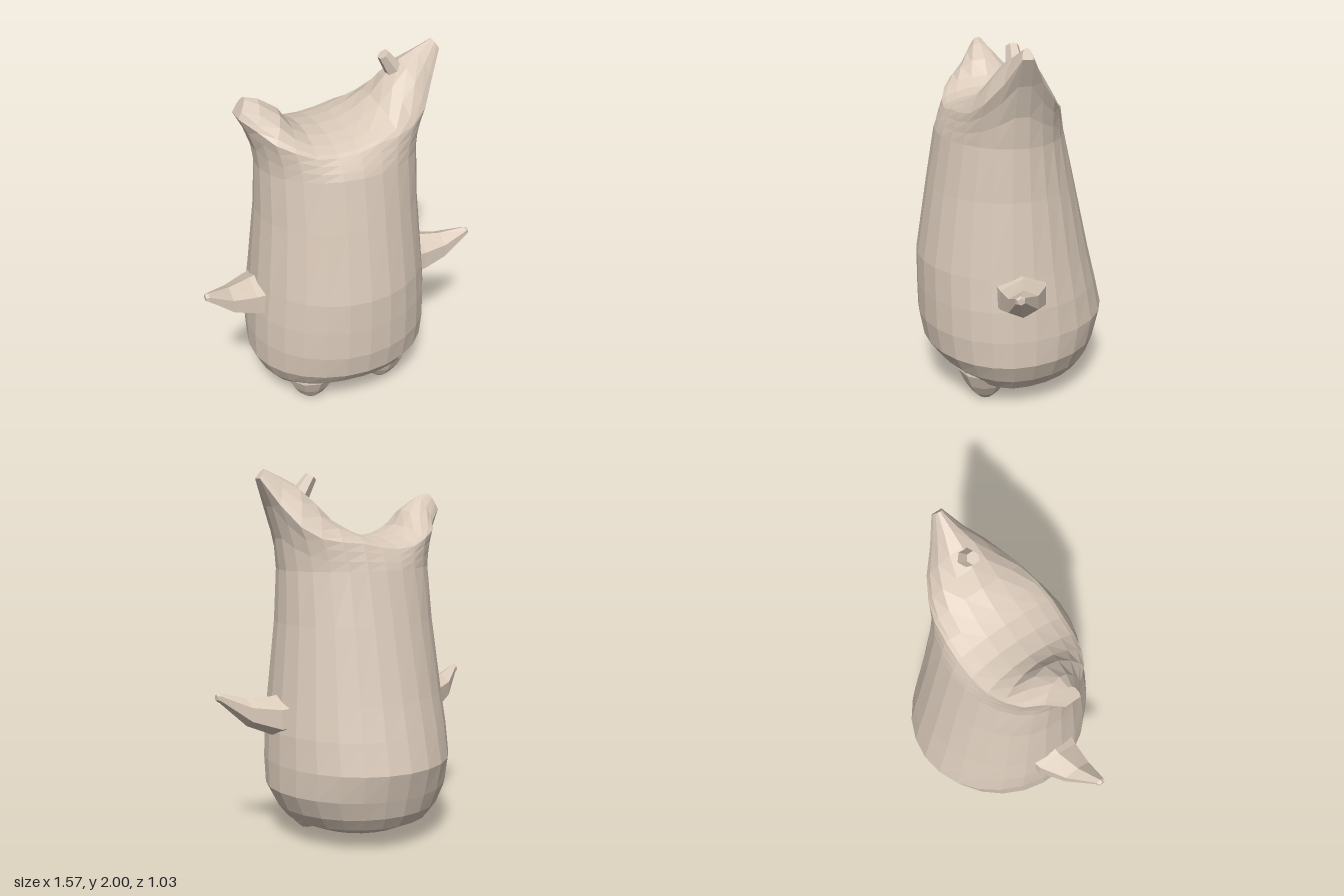
import * as THREE from 'three';

const material = new THREE.MeshStandardMaterial({ color: 0xdacaba, flatShading: true });
const lerp = THREE.MathUtils.lerp;
const HALF = 13; // columns on the front half and on the back half
const MID_Z = 0.05; // depth at which the body is widest

// Skin a grid of points; each row is a list of Vector3
function skin(rows, closed) {
  const pos = [];
  const tri = (a, b, c) => {
    if (new THREE.Triangle(a, b, c).getArea() > 1e-7) for (const p of [a, b, c]) pos.push(p.x, p.y, p.z);
  };
  for (let i = 0; i < rows.length - 1; i++) {
    const n = rows[i].length;
    for (let j = 0; j < (closed ? n : n - 1); j++) {
      const k = (j + 1) % n;
      tri(rows[i][j], rows[i + 1][j], rows[i][k]);
      tri(rows[i][k], rows[i + 1][j], rows[i + 1][k]);
    }
  }
  const g = new THREE.BufferGeometry();
  g.setAttribute('position', new THREE.Float32BufferAttribute(pos, 3));
  g.computeVertexNormals();
  return g;
}

function add(parent, name, geometry) {
  const m = new THREE.Mesh(geometry, material);
  m.name = name;
  parent.add(m);
  return m;
}

// Body rings: front y, side y, back y, half width, front z, back z
const RINGS = [
  [0.07, 0.07, 0.07, 0.0, MID_Z, MID_Z],
  [0.075, 0.06, 0.065, 0.17, 0.17, -0.15],
  [0.155, 0.06, 0.068, 0.27, 0.3, -0.27],
  [0.17, 0.12, 0.13, 0.4, 0.36, -0.4],
  [0.235, 0.19, 0.2, 0.455, 0.435, -0.445],
  [0.31, 0.3, 0.3, 0.508, 0.49, -0.475],
  [0.45, 0.45, 0.45, 0.512, 0.515, -0.515],
  [0.62, 0.62, 0.62, 0.505, 0.517, -0.475],
  [0.8, 0.8, 0.8, 0.485, 0.515, -0.43],
  [1.2, 1.2, 1.2, 0.447, 0.45, -0.34],
  [1.48, 1.48, 1.48, 0.44, 0.4, -0.275],
];

// Rim stations from left horn to right horn: x, y, front z, back z, ridge x, ridge y
const RIM = [
  [0.57, 1.95, 0.085, 0.03, 0.535, 2.0],
  [0.495, 1.82, 0.155, -0.04, 0.44, 1.96],
  [0.42, 1.71, 0.235, -0.12, 0.355, 1.92],
  [0.33, 1.65, 0.285, -0.175, 0.27, 1.84],
  [0.23, 1.63, 0.32, -0.21, 0.19, 1.75],
  [0.11, 1.62, 0.335, -0.225, 0.08, 1.685],
  [0, 1.595, 0.345, -0.23, 0, 1.655],
  [-0.11, 1.585, 0.335, -0.225, -0.1, 1.645],
  [-0.22, 1.595, 0.32, -0.21, -0.2, 1.66],
  [-0.32, 1.635, 0.285, -0.175, -0.265, 1.7],
  [-0.4, 1.67, 0.235, -0.125, -0.32, 1.78],
  [-0.462, 1.72, 0.16, -0.045, -0.42, 1.85],
  [-0.537, 1.78, 0.1, 0.01, -0.49, 1.87],
];

function bodyRing([yf, ys, yb, rx, zf, zb]) {
  return Array.from({ length: HALF * 2 }, (_, j) => {
    const t = ((j + 0.5) * Math.PI) / HALF, s = Math.sin(t), front = s > 0;
    return new THREE.Vector3(rx * Math.cos(t), lerp(ys, front ? yf : yb, s * s),
      lerp(MID_Z, front ? zf : zb, Math.abs(s)));
  });
}

function buildBody() {
  const rows = RINGS.map(bodyRing);
  const top = rows[rows.length - 1];
  const rim = [
    ...RIM.map(([x, y, zf]) => new THREE.Vector3(x, y, zf)),
    ...RIM.map(([x, y, , zb]) => new THREE.Vector3(x, y, zb)).reverse(),
  ];
  // Flare the wall from the last ring up to the horned rim
  for (const t of [0.35, 0.7, 1]) {
    rows.push(top.map((p, j) => new THREE.Vector3(
      lerp(p.x, rim[j].x, t ** 1.8), lerp(p.y, rim[j].y, t), lerp(p.z, rim[j].z, t ** 1.2))));
  }
  return skin(rows, true);
}

// Saddle between the two horns, arched from front rim to back rim
function buildSaddle() {
  const rows = [];
  const steps = 8;
  const tip = ([x, y, zf, zb]) => new THREE.Vector3(x, y, (zf + zb) / 2);
  for (let i = 0; i <= steps; i++) {
    const a = (i / steps) * Math.PI, s = Math.sin(a);
    const row = RIM.map(([x, y, zf, zb, rx, ry], k) => {
      const lift = k === 0 || k === HALF - 1 ? s : s ** 1.6;
      return new THREE.Vector3(lerp(x, rx, lift), lerp(y, ry, lift), (zf + zb) / 2 + ((zf - zb) / 2) * Math.cos(a));
    });
    rows.push([tip(RIM[0]), ...row, tip(RIM[HALF - 1])]);
  }
  return skin(rows, false);
}

// Pointed arm; sections: x, y, z, half height, half depth
function buildArm(side) {
  const sections = [
    [0.44, 0.71, 0.055, 0.115, 0.155],
    [0.51, 0.708, 0.06, 0.105, 0.14],
    [0.64, 0.735, 0.095, 0.075, 0.09],
    [0.77, 0.818, 0.147, 0.027, 0.027],
    [0.787, 0.82, 0.147, 0.018, 0.02],
    [0.787, 0.82, 0.147, 0, 0],
  ];
  return skin(sections.map(([x, y, z, h, d]) => Array.from({ length: 6 }, (_, j) => {
    const a = (j / 6) * Math.PI * 2;
    return new THREE.Vector3(side * x, y + h * Math.cos(a), z - side * d * Math.sin(a));
  })), true);
}

export function createModel() {
  const group = new THREE.Group();
  group.name = 'hornedCreature';
  add(group, 'body', buildBody());
  add(group, 'hornedTop', buildSaddle());

  // Stubby feet swelling out of the underside
  const footProfile = [[0, 0], [0.04, 0.006], [0.075, 0.04], [0.115, 0.1], [0.15, 0.18], [0.14, 0.26]]
    .map(([r, y]) => new THREE.Vector2(r, y));
  for (const side of [1, -1]) {
    const label = side > 0 ? 'left' : 'right';
    add(group, label + 'Arm', buildArm(side));
    const foot = add(group, label + 'Foot', new THREE.LatheGeometry(footProfile, 10));
    foot.position.set(side * 0.22, 0, 0.195);
  }

  // Small stub growing from the taller horn
  const base = new THREE.Vector3(0.33, 1.86, 0.055), end = new THREE.Vector3(0.262, 1.96, 0.055);
  const stub = add(group, 'hornStub', new THREE.CylinderGeometry(0.033, 0.05, base.distanceTo(end), 6));
  stub.position.copy(base).lerp(end, 0.5);
  stub.quaternion.setFromUnitVectors(new THREE.Vector3(0, 1, 0), end.clone().sub(base).normalize());
  return group;
}
